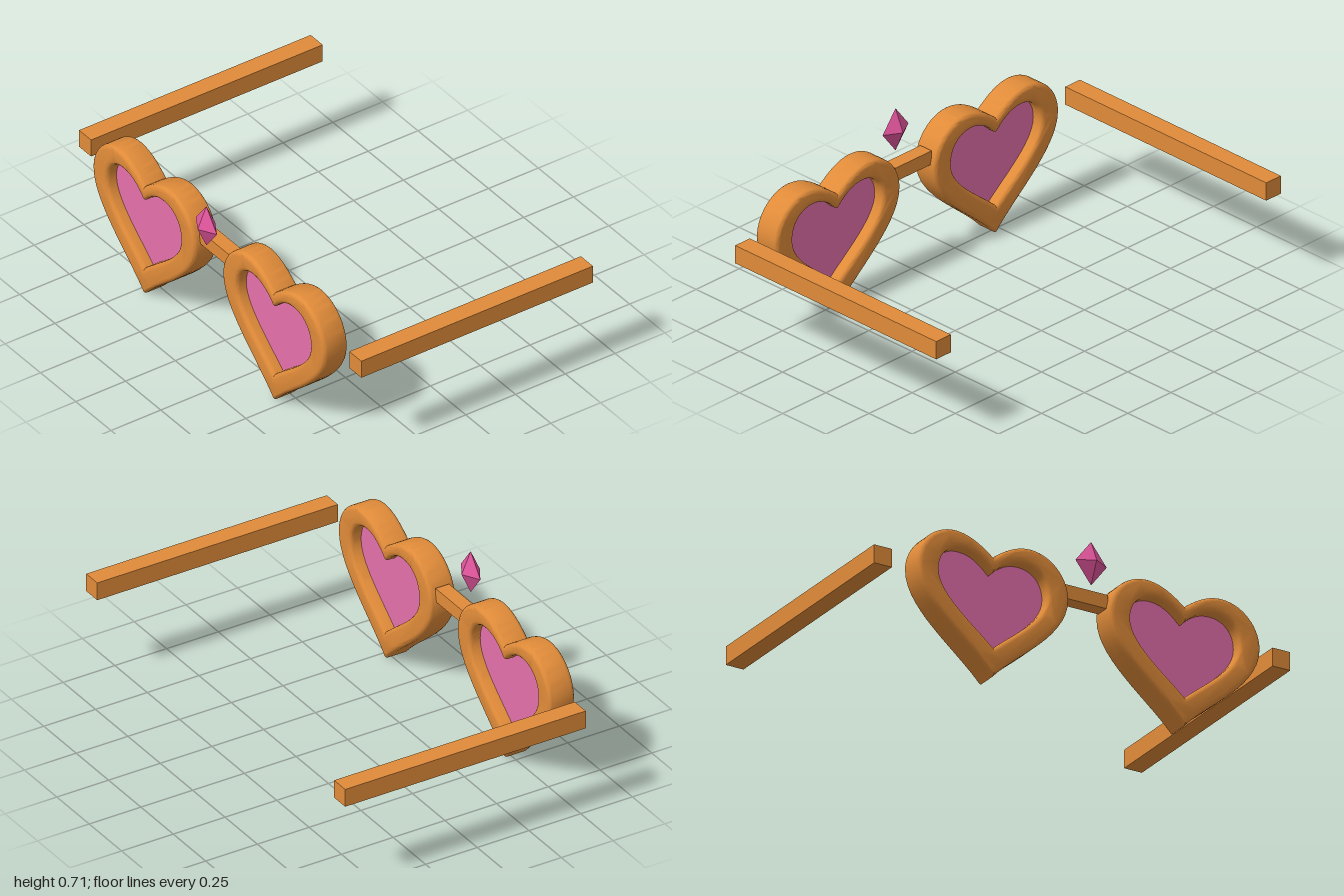
import * as THREE from 'three';
import { toCreasedNormals } from 'three/addons/utils/BufferGeometryUtils.js';

// Symmetric heart, counter-clockwise: notch down the -x side to the tip, then back up the +x side.
function traceHeart(path, h) {
  const segs = [
    [[0, h.notch], ...h.c1, h.top],
    [h.top, ...h.c2, h.side],
    [h.side, ...h.c3, [0, h.tip]],
  ];
  path.moveTo(0, h.notch);
  for (const [, a, b, e] of segs) path.bezierCurveTo(-a[0], a[1], -b[0], b[1], -e[0], e[1]);
  for (const [s, a, b] of segs.reverse()) path.bezierCurveTo(...b, ...a, ...s);
  return path;
}

const OUTER = {
  notch: 0.535, top: [0.18, 0.615], side: [0.363, 0.43], tip: -0.003,
  c1: [[0.05, 0.575], [0.11, 0.615]],
  c2: [[0.28, 0.615], [0.363, 0.53]],
  c3: [[0.363, 0.26], [0.12, 0.13]],
};
const INNER = {
  notch: 0.465, top: [0.145, 0.54], side: [0.26, 0.42], tip: 0.125,
  c1: [[0.04, 0.505], [0.08, 0.54]],
  c2: [[0.21, 0.54], [0.26, 0.495]],
  c3: [[0.26, 0.31], [0.1, 0.215]],
};

export function createModel() {
  const group = new THREE.Group();
  group.name = 'heartGlasses';

  const mat = (name, color) => {
    const m = new THREE.MeshStandardMaterial({ color });
    m.name = name;
    return m;
  };
  const bronze = mat('bronze', 0xe08b39);
  const lensPink = mat('lensPink', 0xe570ab);
  const gemPink = mat('gemPink', 0xe0559b);

  const add = (name, geometry, material, x, y, z) => {
    const mesh = new THREE.Mesh(geometry, material);
    mesh.name = name;
    mesh.position.set(x, y, z);
    group.add(mesh);
  };

  // Rounded heart rim with a heart-shaped opening
  const rimShape = traceHeart(new THREE.Shape(), OUTER);
  rimShape.holes.push(traceHeart(new THREE.Path(), INNER));
  const bevel = 0.02;
  const depth = 0.124 - 2 * bevel;
  const rim = toCreasedNormals(new THREE.ExtrudeGeometry(rimShape, {
    depth, curveSegments: 14,
    bevelEnabled: true, bevelThickness: bevel, bevelSize: bevel, bevelOffset: -bevel, bevelSegments: 4,
  }), 0.7);
  rim.translate(0, 0, -depth / 2);

  // Thin lens filling the opening
  const lens = new THREE.ExtrudeGeometry(traceHeart(new THREE.Shape(), INNER), {
    depth: 0.02, curveSegments: 14, bevelEnabled: false,
  });
  lens.translate(0, 0, -0.01);

  // Rims, lenses and straight temples on both sides
  const temple = new THREE.BoxGeometry(0.085, 0.083, 1.163);
  for (const [side, s] of [['left', 1], ['right', -1]]) {
    add(side + 'Rim', rim, bronze, s * 0.46, 0, 0.525);
    add(side + 'Lens', lens, lensPink, s * 0.46, 0, 0.525);
    add(side + 'Temple', temple, bronze, s * 0.9575, 0.441, -0.057);
  }

  // Bridge between the rims
  add('bridge', new THREE.BoxGeometry(0.21, 0.063, 0.065), bronze, 0, 0.479, 0.522);

  // Faceted gem above the bridge
  const gem = new THREE.OctahedronGeometry(1, 0);
  gem.scale(0.075, 0.098, 0.044);
  add('gem', gem, gemPink, 0, 0.611, 0.594);

  return group;
}
